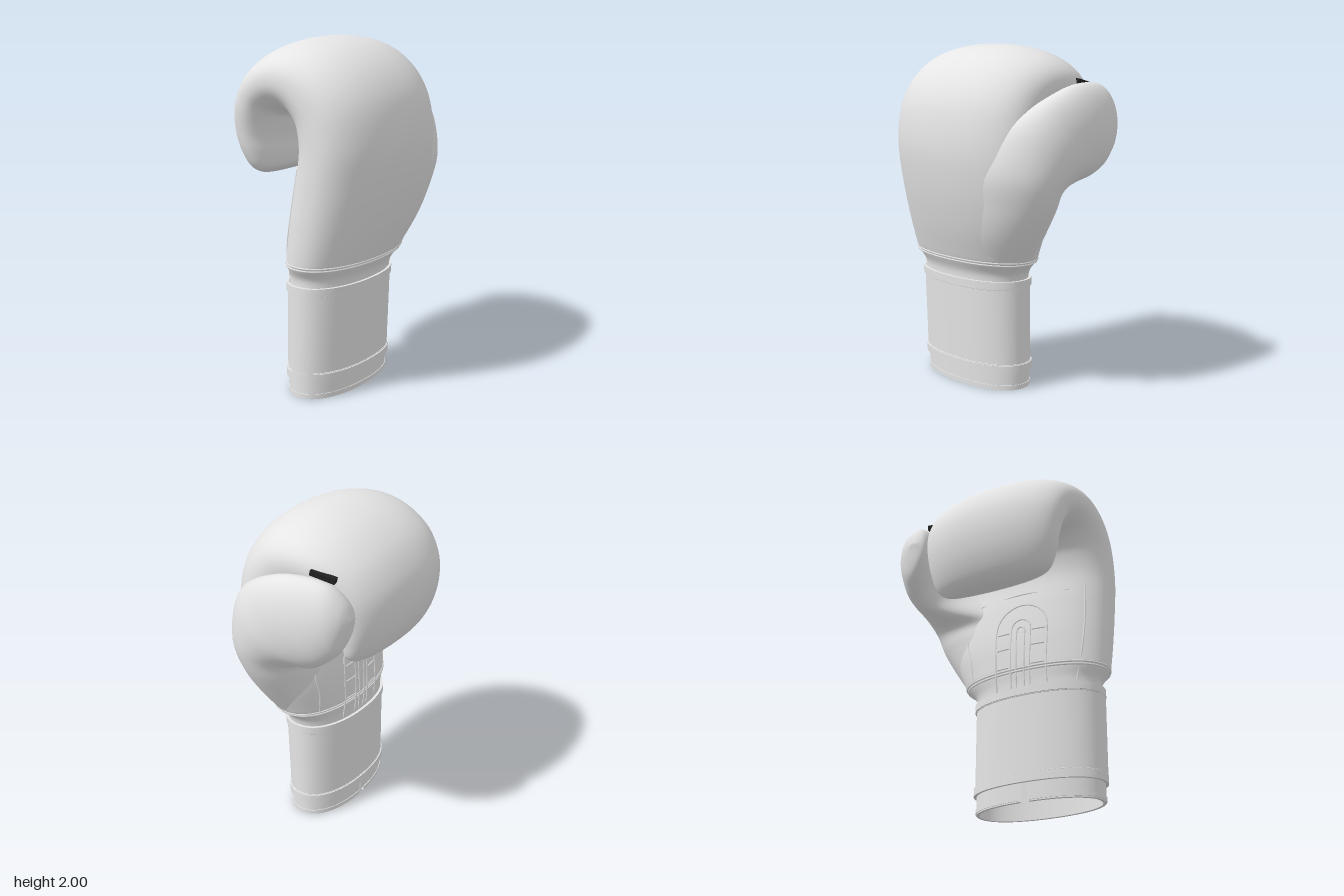
import * as THREE from 'three';
import { toCreasedNormals } from 'three/addons/utils/BufferGeometryUtils.js';

const N = 2.22; // squareness of the oval cross-sections, 2 is a plain ellipse
const TAU = Math.PI * 2;

// A section is [outer z, outer y, inner z, inner y, min x, max x].
const body = [
  [.295, .62, -.11, .62, -.55, .21],
  [.30, .70, -.11, .70, -.55, .225],
  [.335, .77, -.115, .77, -.59, .29],
  [.36, .83, -.115, .83, -.597, .325],
  [.42, 1.0, -.105, 1.0, -.6, .40],
  [.475, 1.22, -.075, 1.2, -.6, .43],
  [.5, 1.45, -.04, 1.38, -.6, .42],
  [.465, 1.68, -.05, 1.5, -.6, .41],
  [.36, 1.85, -.08, 1.55, -.6, .41],
  [.2, 1.96, -.11, 1.57, -.595, .415],
  [0, 2.0, -.13, 1.57, -.585, .415],
  [-.2, 1.96, -.15, 1.56, -.57, .40],
  [-.37, 1.85, -.17, 1.54, -.555, .37],
  [-.47, 1.7, -.18, 1.49, -.54, .35],
  [-.497, 1.55, -.19, 1.42, -.52, .33],
  [-.475, 1.4, -.19, 1.34, -.495, .31],
  [-.42, 1.28, -.205, 1.27, -.45, .28],
  [-.36, 1.23, -.25, 1.235, -.38, .22],
  [-.31, 1.22, -.29, 1.22, -.28, .13],
];
// The thumb starts broad inside the hand, so its front runs into the fist.
const thumb = [
  [.315, .78, -.06, .78, -.3, .297],
  [.375, .95, -.06, .95, -.25, .415],
  [.41, 1.12, -.06, 1.08, -.22, .505],
  [.425, 1.32, -.06, 1.17, -.12, .56],
  [.345, 1.54, -.13, 1.22, .1, .59],
  [.2, 1.67, -.2, 1.26, .27, .597],
  [0, 1.765, -.27, 1.31, .34, .597],
  [-.17, 1.79, -.33, 1.36, .35, .575],
  [-.3, 1.77, -.375, 1.41, .345, .545],
  [-.385, 1.69, -.4, 1.48, .345, .495],
  [-.42, 1.6, -.415, 1.57, .385, .43],
];

// Section at a fractional position, smoothed through the keys
function sectionAt(keys, s) {
  const last = keys.length - 1;
  const i = Math.min(Math.floor(s), last - 1), f = s - i;
  const k = j => keys[Math.max(0, Math.min(last, j))];
  return keys[0].map((_, c) => {
    const a = k(i - 1)[c], b = k(i)[c], d = k(i + 1)[c], e = k(i + 2)[c];
    return b + .5 * f * (d - a + f * (2 * a - 5 * b + 4 * d - e + f * (3 * (b - d) + e - a)));
  });
}

// Point of a section, u across and v from inner (-1) to outer (1)
function pointAt([zo, yo, zi, yi, x0, x1], u, v) {
  return new THREE.Vector3(
    (x0 + x1) / 2 + u * (x1 - x0) / 2,
    (yo + yi) / 2 + v * (yo - yi) / 2,
    (zo + zi) / 2 + v * (zo - zi) / 2);
}
function ovalPoint(sec, t, n = N) {
  const power = w => Math.sign(w) * Math.abs(w) ** (2 / n);
  return pointAt(sec, power(Math.cos(t)), power(Math.sin(t)));
}

// Skin over a row of sections, over the whole oval or part of it
function skin(sections, { from = 0, to = TAU, cap = false, sides = 72, n = N } = {}) {
  const pos = [], idx = [], row = sides + 1;
  const full = Math.abs(to - from - TAU) < 1e-6;
  for (const sec of sections)
    for (let j = 0; j <= sides; j++) pos.push(...ovalPoint(sec, from + (to - from) * j / sides, n).toArray());
  const col = j => (full ? j % sides : j);
  for (let i = 0; i < sections.length - 1; i++)
    for (let j = 0; j < sides; j++) {
      const a = i * row + col(j), b = i * row + col(j + 1);
      idx.push(a, a + row, b, b, a + row, b + row);
    }
  if (cap) {
    const base = (sections.length - 1) * row, centre = pos.length / 3;
    pos.push(...pointAt(sections.at(-1), 0, 0).toArray());
    for (let j = 0; j < sides; j++) idx.push(base + col(j), centre, base + col(j + 1));
  }
  const g = new THREE.BufferGeometry();
  g.setAttribute('position', new THREE.Float32BufferAttribute(pos, 3));
  g.setIndex(idx);
  g.computeVertexNormals();
  return g;
}
function smoothSkin(keys, n) {
  const rows = [], steps = 6 * (keys.length - 1);
  for (let i = 0; i <= steps; i++) rows.push(sectionAt(keys, i / 6));
  return skin(rows, { cap: true, n });
}

// Cuff section at a height, grown outward by g
const cuffRing = (y, g) => [.265 + .045 * y + g, y, -.113 - g, y, -.553 - g, .213 + g];
// Band with thickness: down the inside, then up the outside
function band(y0, y1, inner, outer, arc) {
  const profile = [[y1, inner], [y0, inner], [y0, outer], [y1, outer], [y1, inner]];
  return toCreasedNormals(skin(profile.map(([y, g]) => cuffRing(y, g)), arc), .7);
}

// Point on the palm side of the body at a given x and y
function palmPoint(x, y) {
  let lo = 0, hi = 6, p;
  for (let i = 0; i < 24; i++) {
    const s = (lo + hi) / 2, sec = sectionAt(body, s);
    const u = THREE.MathUtils.clamp((2 * x - sec[4] - sec[5]) / (sec[5] - sec[4]), -1, 1);
    p = pointAt(sec, u, -((1 - Math.abs(u) ** N) ** (1 / N)));
    if (p.y < y) lo = s; else hi = s;
  }
  return p;
}
function tube(points, closed = false, r = .005) {
  return new THREE.TubeGeometry(new THREE.CatmullRomCurve3(points, closed), points.length * 4, r, 6, closed);
}

export function createModel() {
  const glove = new THREE.Group();
  glove.name = 'boxingGlove';
  const mat = (name, color) => {
    const m = new THREE.MeshStandardMaterial({ color, side: THREE.DoubleSide });
    m.name = name;
    return m;
  };
  const leather = mat('lightGreyLeather', 0xe5e5e5);
  const dark = mat('blackTag', 0x222222);
  const add = (name, geometry, material = leather) => {
    const m = new THREE.Mesh(geometry, material);
    m.name = name;
    glove.add(m);
    return m;
  };

  // Padded fist and thumb
  add('fist', smoothSkin(body, N));
  add('thumb', smoothSkin(thumb, 2));

  // Hollow cuff, split at the back, with strap and raised trims
  const split = .05;
  const openArc = { from: -Math.PI / 2 + split, to: Math.PI * 1.5 - split };
  add('cuffLining', band(.005, .64, -.018, 0, openArc));
  add('cuffHem', band(.012, .035, -.002, .004, openArc));
  add('strap', band(.12, .65, -.002, .008));
  add('upperTrim', band(.615, .66, 0, .016));
  add('lowerTrim', band(.11, .158, 0, .016));
  add('strapEnd', band(.13, .64, .004, .014, { from: 2.74, to: 3.3, sides: 12 }));

  // Stitch rings round the wrist and cuff
  const ring = sec => Array.from({ length: 64 }, (_, i) => ovalPoint(sec, i / 64 * TAU));
  for (const s of [1.95, 2.25]) add('wristSeam', tube(ring(sectionAt(body, s)), true, .006));
  for (const y of [.612, .161]) add('strapStitch', tube(ring(cuffRing(y, .008)), true, .003));

  // Palm seams: an arched lace panel round a narrow vent
  const palmSeam = (name, pts) => add(name, tube(pts.map(([x, y]) => palmPoint(x, y))));
  const arch = (cx, w, top) => {
    const pts = [[cx - w, .67], [cx - w, .8], [cx - w, top - w]];
    for (let i = 1; i < 8; i++) {
      const a = Math.PI * (1 - i / 8);
      pts.push([cx + w * Math.cos(a), top - w + w * Math.sin(a)]);
    }
    return [...pts, [cx + w, top - w], [cx + w, .8], [cx + w, .67]];
  };
  const ventX = -.15;
  palmSeam('outerLacePanel', arch(ventX, .16, 1.2));
  palmSeam('innerLacePanel', arch(ventX, .06, 1.1));
  palmSeam('ventEdge', arch(ventX, .025, 1.05));
  for (const side of [-1, 1])
    for (const y of [.8, .92, 1.02])
      palmSeam('laceStitch', [[ventX + side * .07, y], [ventX + side * .11, y], [ventX + side * .15, y]]);
  palmSeam('palmBar', [[-.42, 1.27], [-.15, 1.28], [.15, 1.27]]);
  palmSeam('outerEdgeSeam', [[-.47, .68], [-.5, .85], [-.51, 1.05], [-.5, 1.3]]);
  palmSeam('thumbSeam', [[.19, .78], [.2, .9], [.23, 1.05], [.2, 1.2]]);

  // Dark tag joining thumb and fist
  const tag = add('thumbTag', new THREE.BoxGeometry(.035, .03, .145), dark);
  tag.position.set(.385, 1.782, -.222);
  tag.rotation.set(-.2, .2, 0);

  return glove;
}
